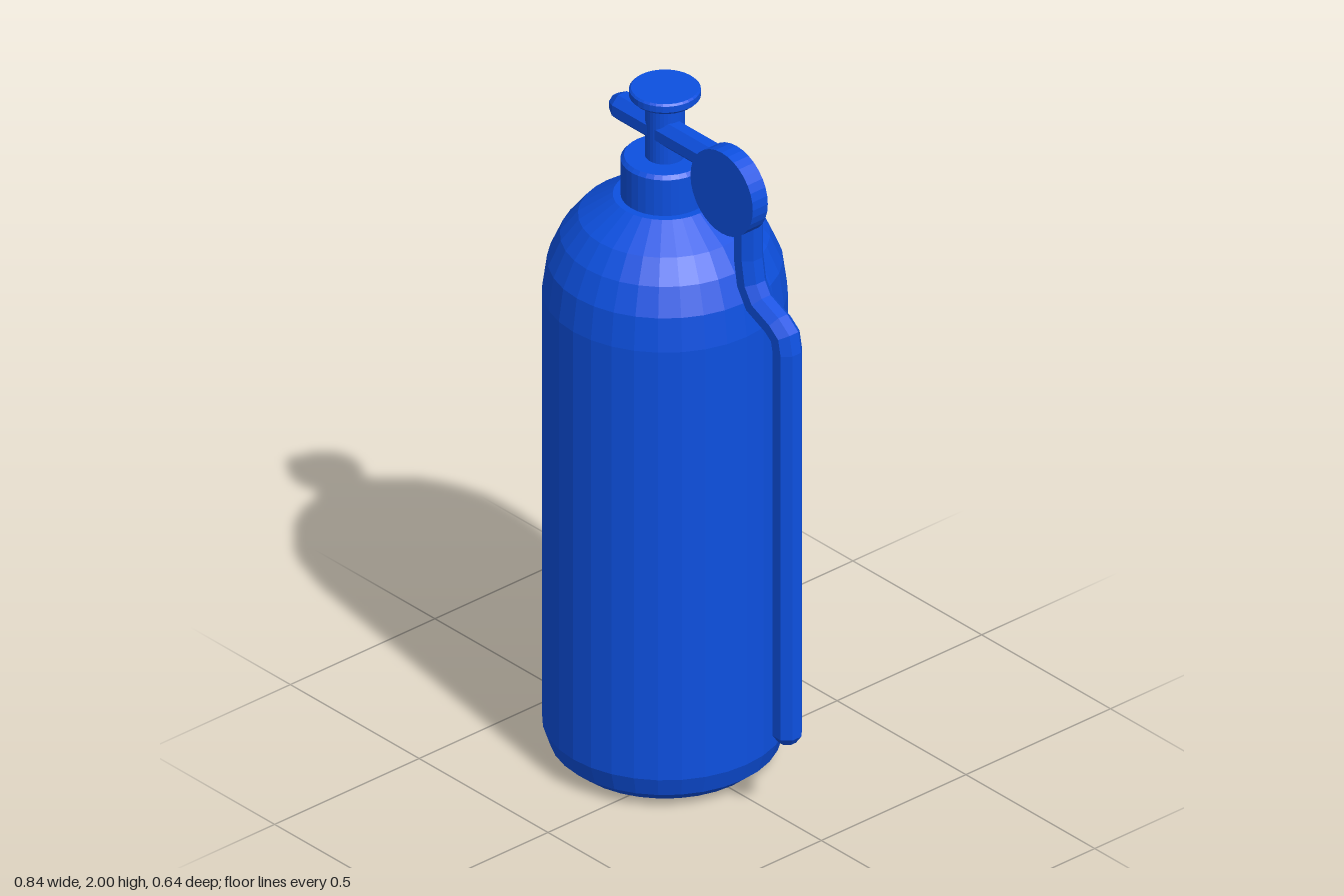
import * as THREE from 'three';

const CX = -0.107; // axis of the bottle
const material = new THREE.MeshStandardMaterial({ color: 0x0d50e0, flatShading: true });

function addMesh(group, name, geometry, x, y, z) {
  const mesh = new THREE.Mesh(geometry, material);
  mesh.name = name;
  mesh.position.set(x, y, z);
  group.add(mesh);
  return mesh;
}

function lathe(profile, sides = 32) {
  return new THREE.LatheGeometry(profile.map(([r, y]) => new THREE.Vector2(r, y)), sides);
}

// Octagonal tube swept along a path in the xy plane, mitred at bends, tapered at both ends
function sweep(path, radius, sides = 8) {
  const pts = path.map(([x, y]) => new THREE.Vector2(x, y));
  const pos = [], index = [];
  const dir = (a, b) => pts[b].clone().sub(pts[a]).normalize();
  const last = pts.length - 1;
  pts.forEach((p, i) => {
    const d0 = dir(Math.max(i - 1, 0), Math.max(i, 1));
    const d1 = dir(Math.min(i, last - 1), Math.min(i + 1, last));
    const t = d0.clone().add(d1).normalize();
    const miter = 1 / t.dot(d0);
    const r = i === 0 || i === last ? radius * 0.62 : radius;
    for (let j = 0; j < sides; j++) {
      const a = ((j + 0.5) / sides) * Math.PI * 2;
      const u = Math.cos(a) * r * miter;
      pos.push(p.x - t.y * u, p.y + t.x * u, Math.sin(a) * r);
    }
  });
  for (let i = 0; i < last; i++) {
    for (let j = 0; j < sides; j++) {
      const a = i * sides + j, b = i * sides + ((j + 1) % sides);
      index.push(a, b, a + sides, b, b + sides, a + sides);
    }
  }
  // Flat end caps
  for (let j = 1; j < sides - 1; j++) {
    const e = last * sides;
    index.push(0, j + 1, j, e, e + j, e + j + 1);
  }
  const g = new THREE.BufferGeometry();
  g.setAttribute('position', new THREE.Float32BufferAttribute(pos, 3));
  g.setIndex(index);
  g.computeVertexNormals();
  return g;
}

export function createModel() {
  const model = new THREE.Group();
  model.name = 'fireExtinguisher';

  // Bottle with rounded base and domed shoulder
  addMesh(model, 'bottle', lathe([
    [0, 0.005], [0.2, 0.005], [0.262, 0.017], [0.3, 0.05], [0.318, 0.105],
    [0.318, 1.39], [0.305, 1.485], [0.272, 1.56], [0.225, 1.62], [0.135, 1.68], [0, 1.68],
  ]), CX, 0, 0);

  // Collar with a small chamfer
  addMesh(model, 'neckCollar', lathe([
    [0, 1.67], [0.115, 1.67], [0.115, 1.787], [0.106, 1.797], [0, 1.797],
  ]), CX, 0, 0);

  // Valve stem and push knob
  addMesh(model, 'valveStem', lathe([
    [0, 1.79], [0.052, 1.79], [0.052, 1.975], [0, 1.975],
  ]), CX, 0, 0);
  addMesh(model, 'pushKnob', lathe([
    [0, 1.968], [0.084, 1.968], [0.093, 1.977], [0.093, 1.995], [0.088, 2], [0, 2],
  ]), CX, 0, 0);

  // Hose running through the valve, then down the side
  addMesh(model, 'hose', sweep([
    [-0.285, 1.882], [-0.258, 1.882], [0.12, 1.882], [0.18, 1.868], [0.218, 1.83], [0.231, 1.77],
    [0.231, 1.65], [0.243, 1.575], [0.274, 1.525], [0.345, 1.493], [0.374, 1.47],
    [0.382, 1.43], [0.382, 0.28], [0.382, 0.258],
  ], 0.04), 0, 0, 0.0125);

  // Round pressure gauge facing forward
  const gauge = addMesh(model, 'pressureGauge',
    new THREE.CylinderGeometry(0.121, 0.121, 0.052, 32), 0.215, 1.86, 0.065);
  gauge.rotation.x = Math.PI / 2;

  return model;
}
